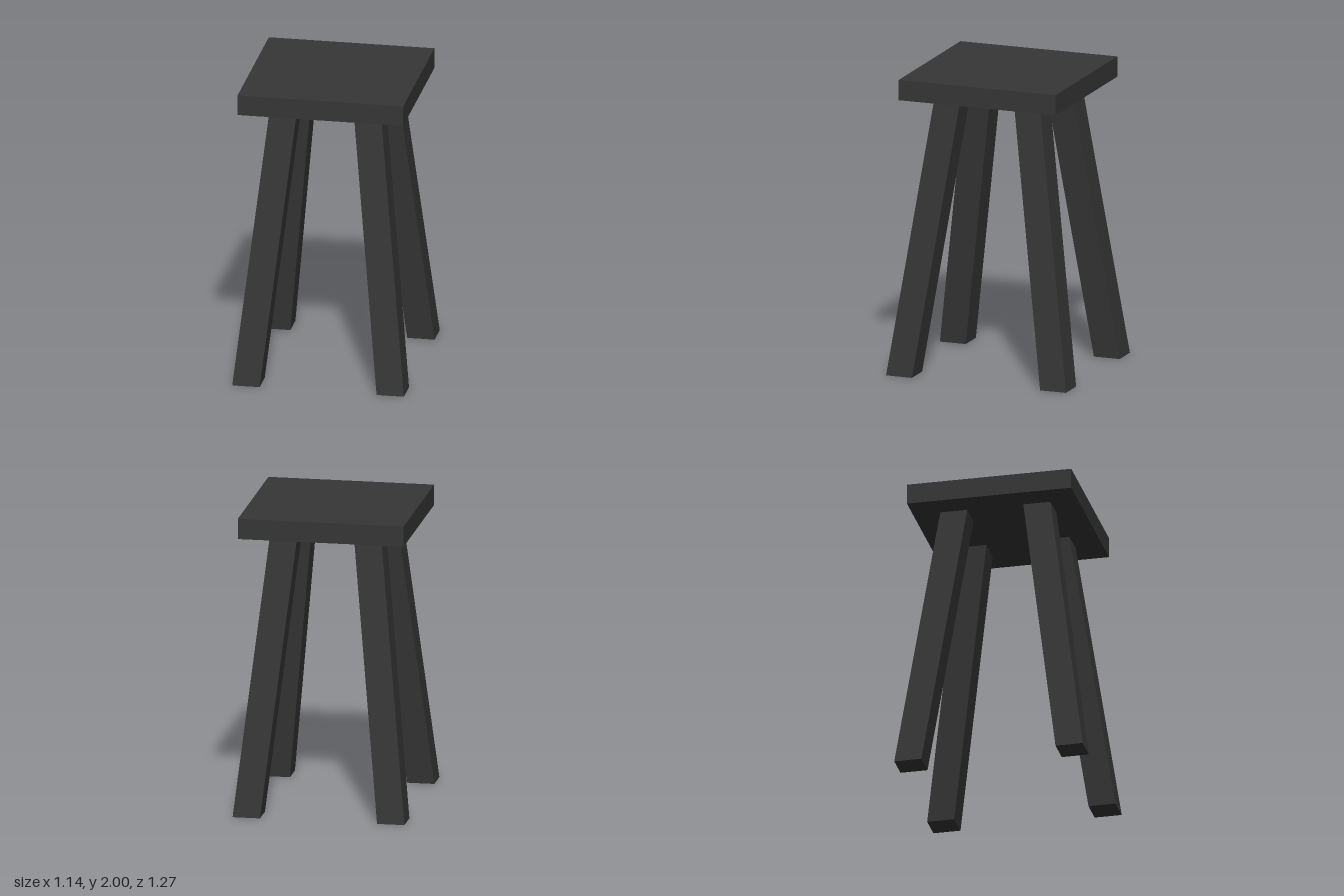
import * as THREE from 'three';

const SEAT_HALF = 0.552, SEAT_BOTTOM = 1.863, LEG = 0.182;

export function createModel() {
  const stool = new THREE.Group();
  stool.name = 'stool';
  const material = new THREE.MeshStandardMaterial({ color: 0x363636, flatShading: true });

  // Square seat slab
  const thickness = 2 - SEAT_BOTTOM;
  const seat = new THREE.Mesh(new THREE.BoxGeometry(SEAT_HALF * 2, thickness, SEAT_HALF * 2), material);
  seat.position.y = SEAT_BOTTOM + thickness / 2;
  seat.name = 'seat';
  stool.add(seat);

  // Splayed leg: an upright box sheared outward so both ends stay level
  function makeLeg(name, sx, sz) {
    const geometry = new THREE.BoxGeometry(LEG, SEAT_BOTTOM, LEG);
    geometry.translate(0, SEAT_BOTTOM / 2, 0);
    const pos = geometry.attributes.position;
    for (let i = 0; i < pos.count; i++) {
      const t = pos.getY(i) / SEAT_BOTTOM;
      pos.setX(i, pos.getX(i) + sx * THREE.MathUtils.lerp(0.481, 0.279, t));
      pos.setZ(i, pos.getZ(i) + sz * THREE.MathUtils.lerp(0.542, 0.279, t));
    }
    geometry.computeVertexNormals();
    const leg = new THREE.Mesh(geometry, material);
    leg.name = name;
    stool.add(leg);
  }

  for (const [sz, end] of [[1, 'front'], [-1, 'back']])
    for (const [sx, side] of [[1, 'Left'], [-1, 'Right']]) makeLeg(`${end}${side}Leg`, sx, sz);

  return stool;
}
